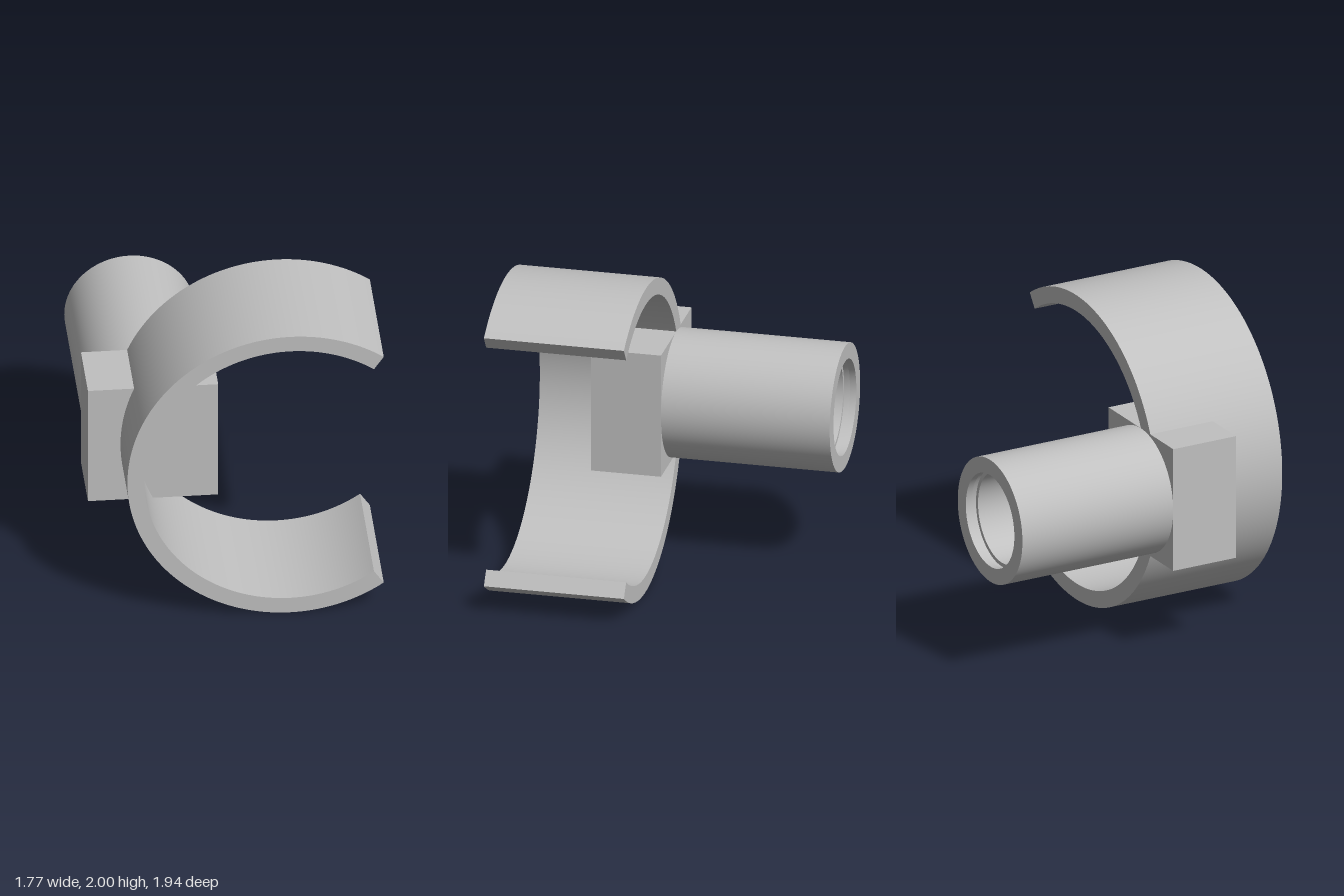
import * as THREE from 'three';
import { toCreasedNormals } from 'three/addons/utils/BufferGeometryUtils.js';

const CREASE = 0.5;
const MID_Y = 1;
const SEAT_Z = 0.09; // plane shared by the clip, the block and the tube

export function createModel() {
  const group = new THREE.Group();
  const grey = new THREE.MeshStandardMaterial({ color: 0xc0c0c0 });
  grey.name = 'light grey';

  const add = (name, geometry, x, y, z) => {
    const mesh = new THREE.Mesh(geometry, grey);
    mesh.name = name;
    mesh.position.set(x, y, z);
    group.add(mesh);
  };

  // Open C-shaped clip, its gap facing +x
  const gap = THREE.MathUtils.degToRad(55);
  const arc = new THREE.Shape();
  arc.absarc(0, 0, 1, gap, 2 * Math.PI - gap, false);
  arc.absarc(0, 0, 0.895, 2 * Math.PI - gap, gap, true);
  arc.closePath();
  const clip = new THREE.ExtrudeGeometry(arc, { depth: 0.88, bevelEnabled: false, curveSegments: 80 });
  add('clip', toCreasedNormals(clip, CREASE), 0.31, MID_Y, SEAT_Z);

  // Square block joining clip and tube
  add('block', new THREE.BoxGeometry(0.8, 0.8, 0.44), -0.49, MID_Y, SEAT_Z + 0.22);

  // Tube with a bore and a shallow groove near its open back end
  const profile = [
    [0.4, -0.97], [0.4, SEAT_Z], [0.29, SEAT_Z],
    [0.29, -0.89], [0.315, -0.89], [0.315, -0.93],
    [0.3, -0.93], [0.3, -0.97], [0.4, -0.97],
  ].map(([r, z]) => new THREE.Vector2(r, z));
  const tube = new THREE.LatheGeometry(profile, 80);
  tube.rotateX(Math.PI / 2);
  add('tube', toCreasedNormals(tube, CREASE), -0.49, MID_Y, 0);

  return group;
}
